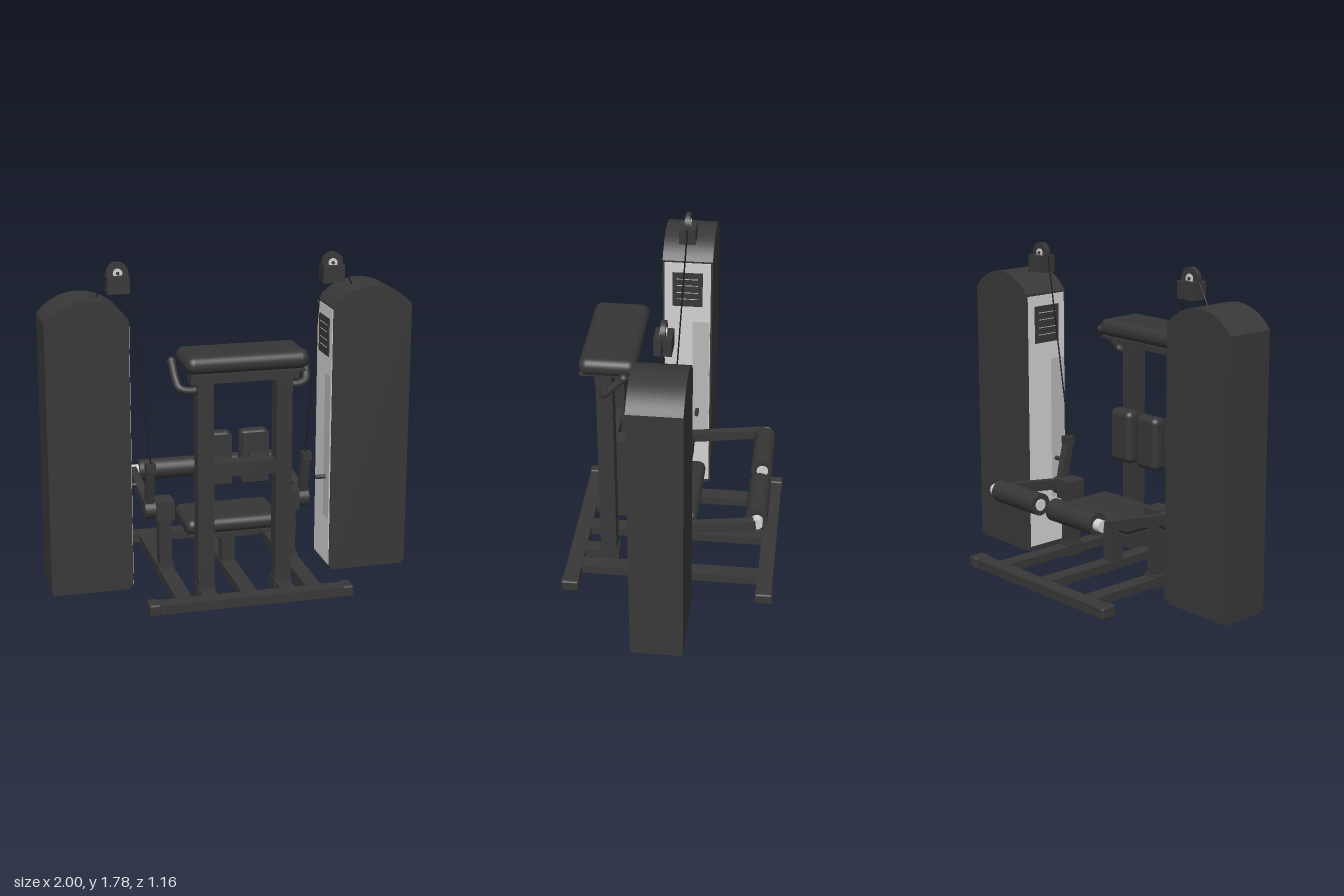
import * as THREE from 'three';
import { RoundedBoxGeometry } from 'three/addons/geometries/RoundedBoxGeometry.js';

const mat = (name, color) => {
  const m = new THREE.MeshStandardMaterial({ color });
  m.name = name;
  return m;
};

export function createModel() {
  const frame = mat('frame charcoal', 0x383838);
  const pad = mat('pad charcoal', 0x363636);
  const light = mat('light panel', 0xd2d2d2);
  const slotGrey = mat('slot grey', 0xb8b8b8);
  const black = mat('cable black', 0x1c1c1c);
  const root = new THREE.Group();
  root.name = 'legCurlMachine';

  const add = (parent, name, geo, material, x = 0, y = 0, z = 0) => {
    const m = new THREE.Mesh(geo, material);
    m.name = name;
    m.position.set(x, y, z);
    parent.add(m);
    return m;
  };
  // box given by its lower and upper limits
  const box = (parent, name, x0, x1, y0, y1, z0, z1, material = frame) =>
    add(parent, name, new THREE.BoxGeometry(x1 - x0, y1 - y0, z1 - z0), material,
      (x0 + x1) / 2, (y0 + y1) / 2, (z0 + z1) / 2);
  const cushion = (parent, name, x0, x1, y0, y1, z0, z1, r) =>
    add(parent, name, new RoundedBoxGeometry(x1 - x0, y1 - y0, z1 - z0, 5, r), pad,
      (x0 + x1) / 2, (y0 + y1) / 2, (z0 + z1) / 2);
  const rod = (parent, name, r, x0, x1, y, z, material) =>
    add(parent, name, new THREE.CylinderGeometry(r, r, x1 - x0, 28).rotateZ(Math.PI / 2),
      material, (x0 + x1) / 2, y, z);
  const vec = (p) => new THREE.Vector3(...p);
  // square bar from a to b
  const bar = (parent, name, a, b, w, h) => {
    const A = vec(a), B = vec(b);
    const m = add(parent, name, new THREE.BoxGeometry(w, h, A.distanceTo(B)), frame);
    m.position.copy(A).lerp(B, 0.5);
    m.lookAt(B);
    return m;
  };

  // Weight towers: second one is the first turned half round
  for (const turn of [0, Math.PI]) {
    const tower = new THREE.Group();
    tower.name = turn ? 'rightTower' : 'leftTower';
    tower.rotation.y = turn;
    root.add(tower);
    const x0 = 0.557, x1 = 1, cx = (x0 + x1) / 2, half = (x1 - x0) / 2, rise = 0.11;
    const R = (half * half + rise * rise) / (2 * rise);
    const a = Math.asin(half / R);
    const s = new THREE.Shape();
    s.moveTo(x0, 0.02);
    s.lineTo(x1, 0.02);
    s.lineTo(x1, 1.5);
    s.absarc(cx, 1.5 + rise - R, R, Math.PI / 2 - a, Math.PI / 2 + a, false);
    s.lineTo(x0, 0.02);
    add(tower, 'towerShroud', new THREE.ExtrudeGeometry(s,
      { depth: 0.28, bevelEnabled: false, curveSegments: 24 }), frame, 0, 0, -0.14);
    box(tower, 'towerPlinth', 0.57, 0.99, 0, 0.02, -0.13, 0.13);

    // inner face: panel, weight slot, instruction plate and selector pin
    box(tower, 'innerPanel', 0.553, 0.558, 0.03, 1.49, -0.13, 0.13, light);
    box(tower, 'weightSlot', 0.55, 0.554, 0.3, 1.12, 0.03, 0.125, slotGrey);
    box(tower, 'instructionPlate', 0.547, 0.554, 1.22, 1.43, -0.085, 0.085, frame);
    for (const y of [1.265, 1.305, 1.35, 1.39])
      box(tower, 'plateLine', 0.545, 0.548, y, y + 0.004, -0.06, 0.06, slotGrey);
    rod(tower, 'selectorPin', 0.012, 0.495, 0.56, 0.53, 0.06, frame);
  }

  // Base
  for (const s of [-1, 1]) {
    box(root, 'baseCrossbar', -0.5, 0.5, 0.025, 0.075, s * 0.53 - 0.042, s * 0.53 + 0.042);
    for (const e of [-1, 1])
      add(root, 'baseEndCap', new RoundedBoxGeometry(0.06, 0.064, 0.096, 2, 0.01), frame,
        e * 0.525, 0.051, s * 0.53);
  }
  for (const x of [-0.355, 0, 0.355])
    box(root, 'baseRail', x - 0.042, x + 0.042, 0.025, 0.073, -0.5, 0.5);

  // Seat
  box(root, 'seatPost', -0.035, 0.035, 0.03, 0.27, -0.04, 0.04);
  box(root, 'seatBracket', -0.14, 0.14, 0.262, 0.28, -0.1, 0.16);
  box(root, 'seatPlate', -0.25, 0.25, 0.278, 0.297, -0.125, 0.175);
  cushion(root, 'seatPad', -0.267, 0.267, 0.295, 0.38, -0.14, 0.19, 0.04);

  // Chest support
  box(root, 'chestCrossbar', -0.29, 0.29, 1.2, 1.262, 0.31, 0.4);
  box(root, 'chestPlate', -0.3, 0.3, 1.258, 1.27, 0.19, 0.478);
  cushion(root, 'chestPad', -0.327, 0.327, 1.266, 1.362, 0.18, 0.482, 0.046);
  box(root, 'kneeCrossbar', -0.18, 0.18, 0.69, 0.765, 0.315, 0.395);

  // Paired parts
  for (const s of [-1, 1]) {
    const side = new THREE.Group();
    side.name = s > 0 ? 'leftSide' : 'rightSide';
    root.add(side);
    const mbox = (name, a, b, ...rest) =>
      box(side, name, Math.min(s * a, s * b), Math.max(s * a, s * b), ...rest);
    const mrod = (name, r, a, b, ...rest) =>
      rod(side, name, r, Math.min(s * a, s * b), Math.max(s * a, s * b), ...rest);

    // front upright on a short rail
    mbox('frontUpright', 0.168, 0.254, 0.03, 1.2, 0.312, 0.4);
    mbox('uprightFoot', 0.163, 0.259, 0.015, 0.085, 0.305, 0.407);
    mbox('uprightRail', 0.17, 0.252, 0.025, 0.073, 0.3, 0.5);

    // knee pad
    cushion(side, 'kneePad', s > 0 ? 0.02 : -0.185, s > 0 ? 0.185 : -0.02, 0.58, 0.882, 0.14, 0.226, 0.035);
    mbox('kneePadPlate', 0.03, 0.175, 0.595, 0.868, 0.222, 0.234);
    mbox('kneePadBracket', 0.06, 0.15, 0.71, 0.755, 0.23, 0.32);

    // hand grip
    const grip = new THREE.CatmullRomCurve3([[0.24, 1.16, 0.355], [0.3, 1.16, 0.355],
      [0.338, 1.175, 0.345], [0.35, 1.21, 0.315], [0.355, 1.295, 0.235]]
      .map(([x, y, z]) => new THREE.Vector3(s * x, y, z)));
    add(side, 'handGrip', new THREE.TubeGeometry(grip, 24, 0.021, 12), frame);
    const end = add(side, 'gripEnd', new THREE.SphereGeometry(0.024, 16, 10), frame);
    end.position.set(s * 0.355, 1.292, 0.238);

    // pivot post
    mbox('pivotPost', 0.32, 0.388, 0.03, 0.36, -0.04, 0.04);
    mbox('pivotFoot', 0.308, 0.4, 0.015, 0.085, -0.05, 0.05);
    mbox('pivotBlock', 0.305, 0.405, 0.348, 0.458, -0.058, 0.058);
    mrod('pivotHub', 0.052, 0.4, 0.465, 0.402, 0, frame);

    // swinging arm and ankle roller
    bar(side, 'pullArm', [s * 0.437, 0.37, -0.01], [s * 0.437, 0.67, 0.06], 0.045, 0.045);
    mbox('pullArmCap', 0.412, 0.465, 0.64, 0.682, 0.03, 0.085);
    bar(side, 'rollerArm', [s * 0.437, 0.41, 0.02], [s * 0.437, 0.475, -0.47], 0.045, 0.055);
    mrod('rollerAxle', 0.032, 0.048, 0.445, 0.475, -0.475, light);
    mrod('ankleRoller', 0.06, 0.055, 0.4, 0.475, -0.47, pad);

    // pulley
    mbox('pulleyBracket', 0.53, 0.647, 1.617, 1.71, -0.045, 0.045);
    const disc = (name, r, t, m) =>
      add(side, name, new THREE.CylinderGeometry(r, r, t, 28).rotateX(Math.PI / 2), m, s * 0.588, 1.722, 0);
    disc('pulleyWheel', 0.058, 0.026, frame);
    disc('pulleyHub', 0.025, 0.034, light);
    disc('pulleyAxle', 0.009, 0.042, frame);

    // cable over the pulley
    const runs = [[[0.71, 1.585, 0], [0.643, 1.705, 0]], [[0.532, 1.705, 0], [0.435, 0.675, 0.06]]];
    for (const [a, b] of runs) {
      const flip = ([x, y, z]) => new THREE.Vector3(s * x, y, z);
      add(side, 'cable', new THREE.TubeGeometry(new THREE.LineCurve3(flip(a), flip(b)), 1, 0.004, 6), black);
    }
  }
  return root;
}
